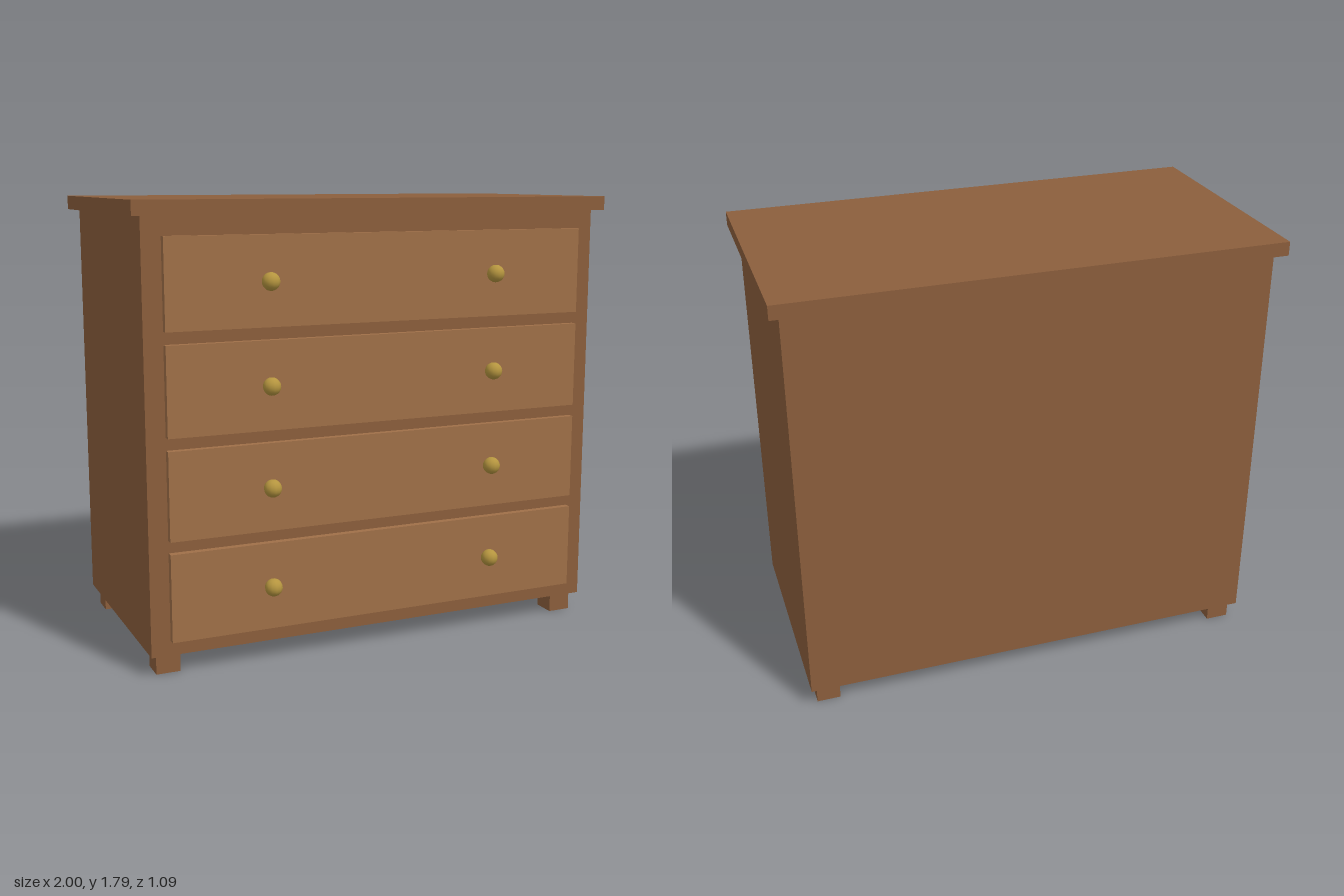
import * as THREE from 'three';

export function createModel() {
  const model = new THREE.Group();
  model.name = 'chestOfDrawers';

  const wood = new THREE.MeshStandardMaterial({ color: 0x8b5e3c });
  const drawerWood = new THREE.MeshStandardMaterial({ color: 0xa07048 });
  const brass = new THREE.MeshStandardMaterial({ color: 0xb5953f });

  const add = (name, geometry, material, x, y, z) => {
    const mesh = new THREE.Mesh(geometry, material);
    mesh.name = name;
    mesh.position.set(x, y, z);
    model.add(mesh);
  };

  // Carcass and overhanging top
  add('carcass', new THREE.BoxGeometry(1.92, 1.66, 0.962), wood, 0, 0.91, -0.021);
  add('topBoard', new THREE.BoxGeometry(2, 0.056, 1.038), wood, 0, 1.766, -0.023);

  // Four square feet
  const foot = new THREE.BoxGeometry(0.096, 0.08, 0.096);
  for (const [side, x] of [['Left', 0.887], ['Right', -0.887]]) {
    add('front' + side + 'Foot', foot, wood, x, 0.04, 0.383);
    add('back' + side + 'Foot', foot, wood, x, 0.04, -0.424);
  }

  // Four drawer fronts, each with a pair of round knobs
  const front = new THREE.BoxGeometry(1.768, 0.345, 0.04);
  const knob = new THREE.SphereGeometry(0.035, 12, 10);
  for (let i = 0; i < 4; i++) {
    const y = 0.311 + i * 0.3937;
    add('drawerFront' + (i + 1), front, drawerWood, 0, y, 0.468);
    add('leftKnob' + (i + 1), knob, brass, 0.481, y, 0.508);
    add('rightKnob' + (i + 1), knob, brass, -0.481, y, 0.508);
  }

  return model;
}
